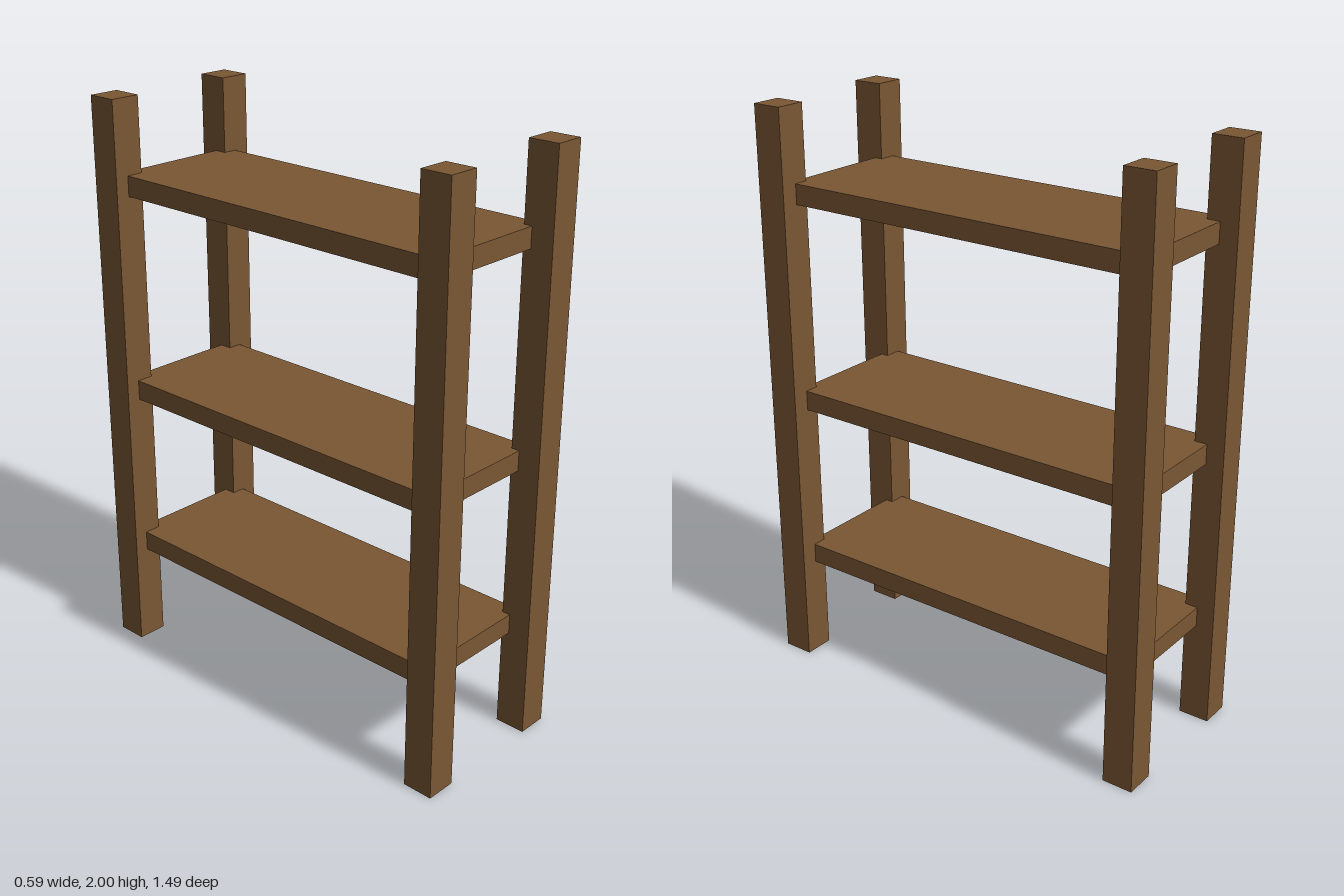
import * as THREE from 'three';

export function createModel() {
  const group = new THREE.Group();
  const wood = new THREE.MeshStandardMaterial({ color: 0x7a5734 });

  const addBox = (name, size, position) => {
    const mesh = new THREE.Mesh(new THREE.BoxGeometry(...size), wood);
    mesh.name = name;
    mesh.position.set(...position);
    group.add(mesh);
  };

  // Four square corner posts
  for (const [side, x] of [['Left', 0.243], ['Right', -0.243]]) {
    for (const [end, z] of [['front', 0.693], ['back', -0.693]]) {
      addBox(`${end}${side}Post`, [0.107, 2, 0.107], [x, 1, z]);
    }
  }

  // Three boards let into the posts, slightly off centre
  const shelves = [['lowerShelf', 0.388], ['middleShelf', 0.981], ['upperShelf', 1.707]];
  for (const [name, y] of shelves) {
    addBox(name, [0.486, 0.07, 1.352], [-0.005, y, -0.008]);
  }

  return group;
}
